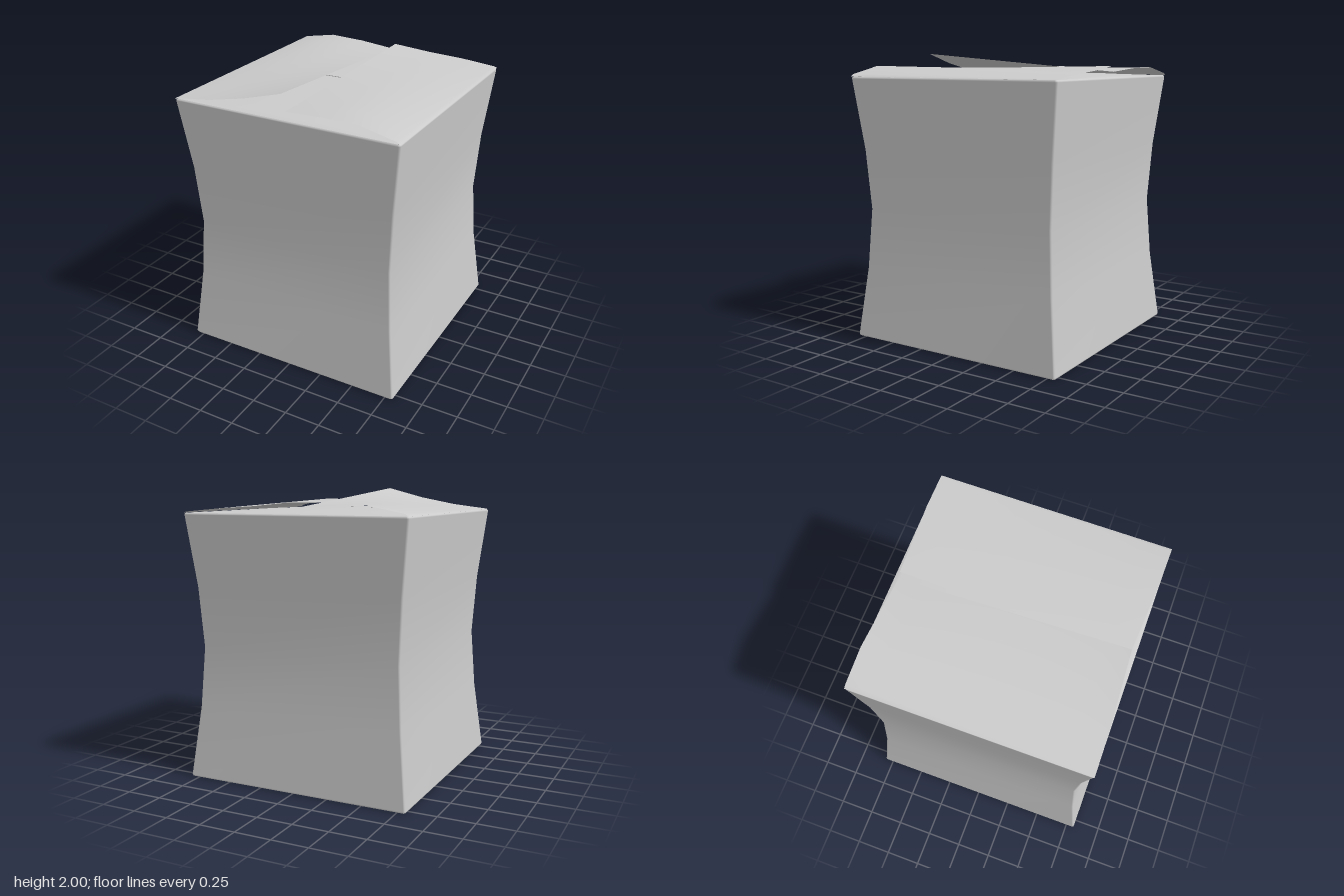
import * as THREE from 'three';

const material = new THREE.MeshStandardMaterial({ color: 0xcccccc, side: THREE.DoubleSide });

// Smooth surface through a grid of points: rows of equal length
function sheet(name, rows, flip = false) {
  const n = rows[0].length;
  const index = [];
  for (let i = 0; i < rows.length - 1; i++) {
    for (let j = 0; j < n - 1; j++) {
      const a = i * n + j, b = a + 1, c = a + n, d = c + 1;
      if (flip) index.push(a, c, b, b, c, d);
      else index.push(a, b, c, b, d, c);
    }
  }
  const geometry = new THREE.BufferGeometry();
  geometry.setAttribute('position', new THREE.Float32BufferAttribute(rows.flat(2), 3));
  geometry.setIndex(index);
  geometry.computeVertexNormals();
  const mesh = new THREE.Mesh(geometry, material);
  mesh.name = name;
  return mesh;
}

// Square ring with small rounded corners at height y
function ring(half, y, radius = 0.014) {
  const points = [];
  for (let corner = 0; corner < 4; corner++) {
    const mid = (corner + 0.5) * Math.PI / 2;
    const cx = Math.sign(Math.cos(mid)) * (half - radius);
    const cz = Math.sign(Math.sin(mid)) * (half - radius);
    for (let k = 0; k <= 3; k++) {
      const a = (corner + k / 3) * Math.PI / 2;
      points.push([cx + radius * Math.cos(a), y, cz + radius * Math.sin(a)]);
    }
  }
  points.push([...points[0]]);
  return points;
}

// Outer flap hinged on one side; heights run from hinge to free edge
const flapX = [0.81, 0.785, 0.54, 0.28, 0.015];
const flapZ = [0.812, 0.812, 0.808, 0.792, 0.775];
function outerFlap(name, side, back, front) {
  const steps = 10;
  const rows = flapX.map((x, i) => {
    const row = [];
    for (let j = 0; j <= steps; j++) {
      const t = j / steps;
      row.push([side * x, THREE.MathUtils.lerp(back[i], front[i], t), flapZ[i] * (2 * t - 1)]);
    }
    return row;
  });
  return sheet(name, rows, side < 0);
}

// Inner flap hinged at front or back, gently arched across its width
function innerFlap(name, side) {
  const profile = [[0.81, 0], [0.775, 0.4], [0.5, 0.8], [0.006, 1]];
  const rows = profile.map(([z, rise]) => {
    const row = [];
    for (let j = 0; j <= 8; j++) {
      const s = j / 4 - 1;
      row.push([s * 0.79, 1.844 + 0.03 * rise * (1 - s * s), side * z - 0.005]);
    }
    return row;
  });
  return sheet(name, rows, side > 0);
}

export function createModel() {
  const group = new THREE.Group();

  // Walls pinched at mid height, with softened bottom and rim edges
  const walls = [
    [0.798, 0], [0.806, 0.004], [0.81, 0.014], [0.755, 0.5], [0.73, 0.92],
    [0.755, 1.34], [0.81, 1.83], [0.809, 1.838], [0.802, 1.844],
  ];
  group.add(sheet('boxWalls', walls.map(([half, y]) => ring(half, y)), true));

  // Floor
  const floor = new THREE.Mesh(new THREE.PlaneGeometry(1.596, 1.596), material);
  floor.rotation.x = Math.PI / 2;
  floor.name = 'boxFloor';
  group.add(floor);

  // Inner flaps under the two warped outer flaps
  group.add(innerFlap('frontInnerFlap', 1), innerFlap('backInnerFlap', -1));
  group.add(outerFlap('rightOuterFlap', -1,
    [1.845, 1.86, 1.905, 1.9, 1.88], [1.845, 1.85, 1.88, 1.93, 2.0]));
  group.add(outerFlap('leftOuterFlap', 1,
    [1.845, 1.852, 1.875, 1.892, 1.918], [1.845, 1.862, 1.915, 1.908, 1.89]));

  return group;
}
